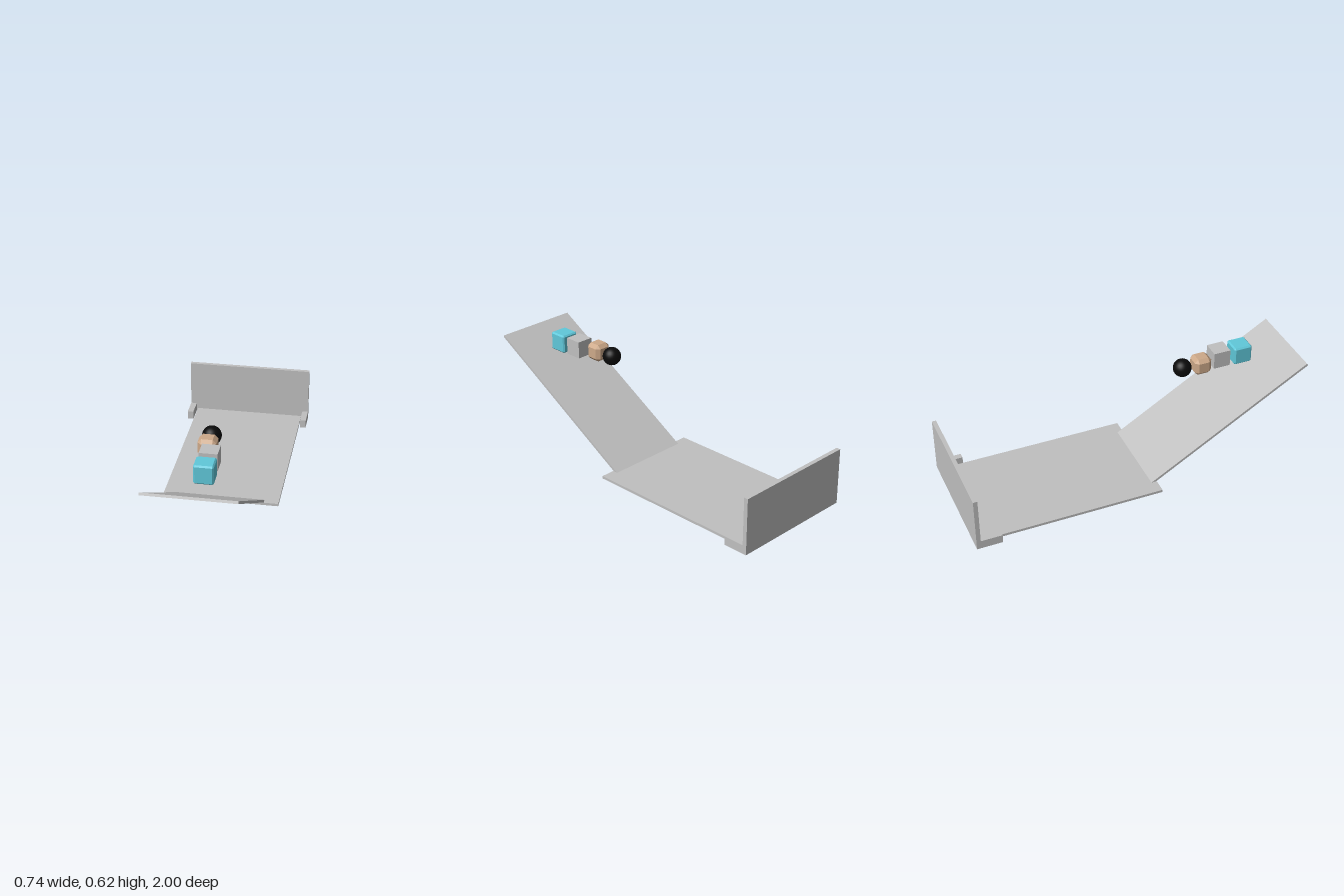
import * as THREE from 'three';
import { ConvexGeometry } from 'three/addons/geometries/ConvexGeometry.js';

const grey = new THREE.MeshStandardMaterial({ name: 'grey', color: 0xc0c0c0 });
const cyan = new THREE.MeshStandardMaterial({ name: 'cyan', color: 0x60c8da });
const tan = new THREE.MeshStandardMaterial({ name: 'tan', color: 0xcda989 });
const black = new THREE.MeshStandardMaterial({ name: 'black', color: 0x0a0a0a });

// Cube with every edge cut flat
function chamferedCube(size, cut) {
  const h = size / 2, k = h - cut, points = [];
  for (const sx of [-1, 1]) for (const sy of [-1, 1]) for (const sz of [-1, 1]) {
    points.push(
      new THREE.Vector3(sx * h, sy * k, sz * k),
      new THREE.Vector3(sx * k, sy * h, sz * k),
      new THREE.Vector3(sx * k, sy * k, sz * h));
  }
  return new ConvexGeometry(points);
}

export function createModel() {
  const model = new THREE.Group();
  model.name = 'rampPlatform';

  function add(name, geometry, material, x, y, z) {
    const mesh = new THREE.Mesh(geometry, material);
    mesh.name = name;
    mesh.position.set(x, y, z);
    model.add(mesh);
    return mesh;
  }

  // Floor and rear wall
  add('floor', new THREE.BoxGeometry(0.655, 0.015, 1.09), grey, 0, 0.013, -0.455);
  add('backWall', new THREE.BoxGeometry(0.74, 0.324, 0.024), grey, 0, 0.167, -0.988);

  // Small blocks in front of the wall, either side of the floor
  for (const side of [-1, 1]) {
    add(side > 0 ? 'leftBlock' : 'rightBlock',
      new THREE.BoxGeometry(0.035, 0.049, 0.121), grey, side * 0.3525, 0.0295, -0.9155);
  }

  // Ramp rising towards the front
  const ramp = add('ramp', new THREE.BoxGeometry(0.492, 0.014, 1.102), grey, -0.001, 0.287, 0.522);
  ramp.rotation.x = -0.535;

  // Floating row of shapes above the ramp
  add('blackBall', new THREE.SphereGeometry(0.052, 32, 16), black, 0, 0.565, 0.345);
  add('chamferedBlock', chamferedCube(0.1, 0.02), tan, -0.001, 0.565, 0.457);
  add('plainCube', new THREE.BoxGeometry(0.098, 0.098, 0.098), grey, 0.031, 0.566, 0.582);
  add('cyanCube', chamferedCube(0.106, 0.008), cyan, 0.03, 0.562, 0.711);

  return model;
}
